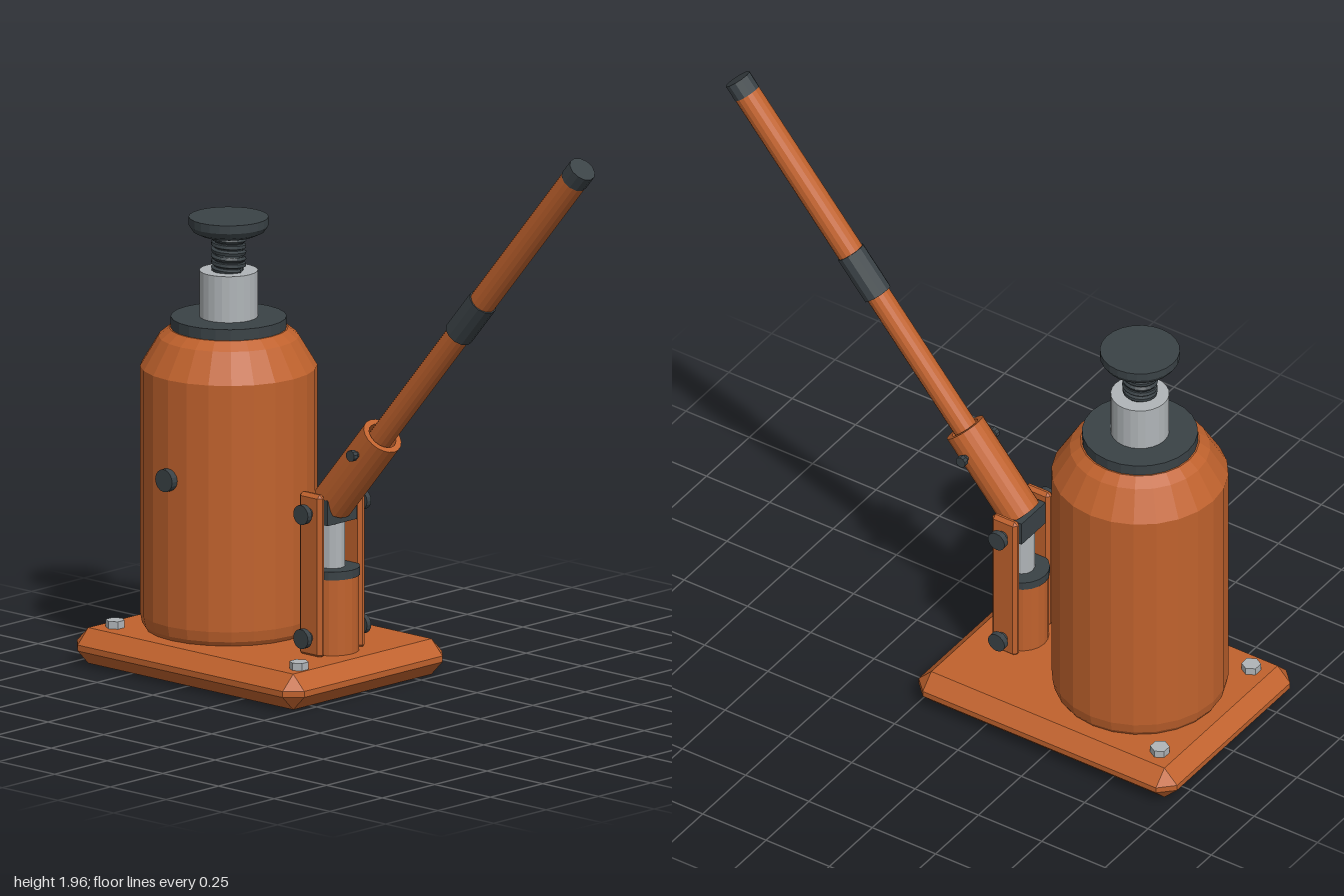
import * as THREE from 'three';
import { ConvexGeometry } from 'three/addons/geometries/ConvexGeometry.js';

const material = (name, color) => {
  const m = new THREE.MeshStandardMaterial({ color, flatShading: true });
  m.name = name;
  return m;
};

// Box with every edge cut by a 45 degree chamfer
function chamferBox(w, h, d, c) {
  const pts = [];
  for (const sx of [-1, 1]) for (const sy of [-1, 1]) for (const sz of [-1, 1]) {
    const x = w / 2, y = h / 2, z = d / 2;
    pts.push(
      new THREE.Vector3(sx * x, sy * (y - c), sz * (z - c)),
      new THREE.Vector3(sx * (x - c), sy * y, sz * (z - c)),
      new THREE.Vector3(sx * (x - c), sy * (y - c), sz * z));
  }
  return new ConvexGeometry(pts);
}

const lathe = (points, sides = 24) =>
  new THREE.LatheGeometry(points.map(([r, y]) => new THREE.Vector2(r, y)), sides);

export function createModel() {
  const orange = material('orangePaint', 0xc0622d);
  const dark = material('darkSteel', 0x3a4246);
  const silver = material('silverSteel', 0xb0b5b8);
  const model = new THREE.Group();
  model.name = 'bottleJack';

  function add(parent, name, geometry, mat, x = 0, y = 0, z = 0) {
    const mesh = new THREE.Mesh(geometry, mat);
    mesh.name = name;
    mesh.position.set(x, y, z);
    parent.add(mesh);
    return mesh;
  }
  // Upright cylinder from y0 to y1
  const post = (parent, name, mat, r, y0, y1, x = 0, sides = 24, z = 0) =>
    add(parent, name, new THREE.CylinderGeometry(r, r, y1 - y0, sides), mat, x, (y0 + y1) / 2, z);
  // Cylinder lying along z
  const pin = (parent, name, mat, r, length, x, y, z = 0, sides = 16) => {
    const mesh = add(parent, name, new THREE.CylinderGeometry(r, r, length, sides), mat, x, y, z);
    mesh.rotation.x = Math.PI / 2;
    return mesh;
  };

  // Base plate and its three bolts
  add(model, 'basePlate', chamferBox(1.02, 0.12, 0.76, 0.05), orange, -0.49, 0.06, 0);
  for (const [x, z] of [[-0.89, -0.268], [-0.89, 0.265], [-0.065, 0.265]])
    post(model, 'baseBolt', silver, 0.032, 0.115, 0.145, x, 6, z);

  // Main body with ram, screw and saddle
  const jack = new THREE.Group();
  jack.name = 'mainCylinder';
  jack.position.x = -0.63;
  model.add(jack);
  add(jack, 'body', lathe([[0, 0.115], [0.27, 0.115], [0.283, 0.135], [0.29, 0.17], [0.29, 1.0],
    [0.23, 1.1], [0.195, 1.128], [0, 1.128]]), orange);
  post(jack, 'collar', dark, 0.19, 1.125, 1.165);
  post(jack, 'ram', silver, 0.096, 1.16, 1.32);
  post(jack, 'screwCore', dark, 0.048, 1.3, 1.46, 0, 16);
  const helix = [];
  for (let i = 0; i <= 72; i++) {
    const a = i / 12 * Math.PI * 2;
    helix.push(new THREE.Vector3(Math.cos(a) * 0.05, 1.32 + i / 72 * 0.125, Math.sin(a) * 0.05));
  }
  add(jack, 'screwThread',
    new THREE.TubeGeometry(new THREE.CatmullRomCurve3(helix), 120, 0.009, 5), dark);
  add(jack, 'saddle', lathe([[0, 1.44], [0.09, 1.44], [0.118, 1.453], [0.131, 1.472],
    [0.131, 1.5], [0, 1.5]]), dark);
  pin(jack, 'fillerPlug', dark, 0.038, 0.04, 0, 0.665, 0.29);

  // Pump
  const px = -0.165;
  post(model, 'pumpCylinder', orange, 0.088, 0.115, 0.377, px, 20);
  post(model, 'pumpCap', dark, 0.091, 0.375, 0.403, px, 20);
  post(model, 'pumpRod', silver, 0.042, 0.4, 0.58, px, 12);
  add(model, 'pumpYoke', new THREE.BoxGeometry(0.09, 0.085, 0.14), dark, px, 0.598, 0);

  // Side plates and pivot pins
  for (const s of [-1, 1])
    add(model, 'sidePlate', chamferBox(0.1, 0.55, 0.032, 0.012), orange, px, 0.39, s * 0.096);
  for (const y of [0.182, 0.6]) {
    pin(model, 'pivotPin', dark, 0.018, 0.28, px, y);
    for (const s of [-1, 1]) pin(model, 'pivotPinHead', dark, 0.033, 0.02, px, y, s * 0.141);
  }

  // Lever, built along its own y axis and tilted
  const lever = new THREE.Group();
  lever.name = 'lever';
  lever.position.set(-0.16, 0.62, 0);
  lever.rotation.z = -Math.atan2(1.118, 1.31);
  model.add(lever);
  add(lever, 'socket', lathe([[0.05, 0], [0.07, 0], [0.07, 0.34], [0.05, 0.34], [0.05, 0]], 20), orange);
  post(lever, 'lowerHandle', orange, 0.041, 0.03, 0.9, 0, 16);
  post(lever, 'handleCoupling', dark, 0.05, 0.87, 1.035, 0, 12);
  post(lever, 'upperHandle', orange, 0.045, 1.0, 1.68, 0, 16);
  post(lever, 'handleTip', dark, 0.047, 1.665, 1.722, 0, 12);
  pin(lever, 'socketPin', dark, 0.011, 0.19, 0, 0.262, 0, 10);
  for (const s of [-1, 1]) pin(lever, 'socketPinHead', dark, 0.019, 0.018, 0, 0.262, s * 0.092, 10);

  return model;
}
